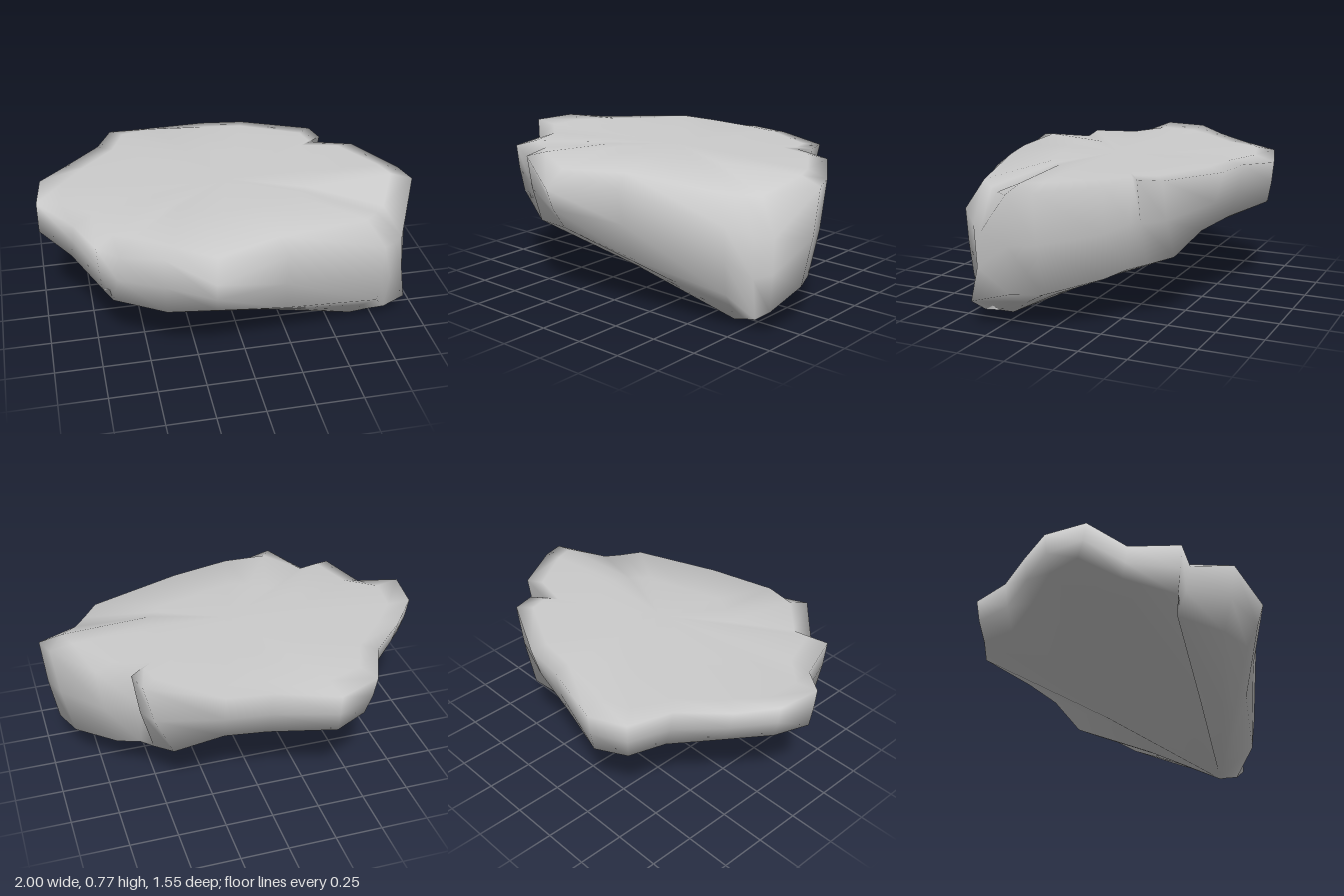
import * as THREE from 'three';

// One spoke per rim corner: rim x, y, z, then the lower edge x, y, z below it
const SPOKES = [
  [-1.0, 0.77, 0.09, -1.0, 0.58, 0.05],
  [-0.83, 0.71, 0.24, -0.85, 0.52, 0.22],
  [-0.74, 0.72, 0.49, -0.72, 0.46, 0.46],
  [-0.63, 0.66, 0.5, -0.67, 0.37, 0.44],
  [-0.44, 0.74, 0.68, -0.42, 0.38, 0.61],
  [-0.2, 0.62, 0.77, -0.18, 0.4, 0.67],
  [0.18, 0.66, 0.65, 0.2, 0.29, 0.57],
  [0.73, 0.55, 0.51, 0.72, 0.2, 0.48],
  [0.82, 0.5, 0.41, 0.81, 0.06, 0.36],
  [0.89, 0.48, 0.33, 0.91, 0.13, 0.38],
  [1.0, 0.71, 0.12, 0.93, 0.2, 0.15],
  [0.96, 0.72, 0.0, 0.87, 0.2, 0.0],
  [0.78, 0.74, -0.28, 0.69, 0.26, -0.24],
  [0.56, 0.75, -0.33, 0.58, 0.29, -0.32],
  [0.62, 0.75, -0.38, 0.53, 0.31, -0.4],
  [0.59, 0.75, -0.5, 0.45, 0.34, -0.51],
  [0.23, 0.74, -0.68, 0.2, 0.42, -0.56],
  [0.0, 0.74, -0.71, 0.0, 0.46, -0.64],
  [-0.33, 0.7, -0.78, -0.33, 0.48, -0.75],
  [-0.54, 0.73, -0.72, -0.5, 0.5, -0.68],
  [-0.63, 0.75, -0.51, -0.56, 0.5, -0.49],
  [-0.83, 0.75, -0.31, -0.75, 0.53, -0.29],
  [-0.97, 0.77, -0.14, -0.93, 0.57, -0.12],
];

// Point between a and b: t sideways, s in height
const between = (a, b, t, s) => new THREE.Vector3(a.x + (b.x - a.x) * t, a.y + (b.y - a.y) * s, a.z + (b.z - a.z) * t);

function rockGeometry() {
  const apex = new THREE.Vector3(0.64, 0, 0.3);
  const pairs = SPOKES.map(s => [new THREE.Vector3(s[0], s[1], s[2]), new THREE.Vector3(s[3], s[4], s[5])]);
  // Top ring at a fraction of the rim, dipping where the rim is low
  const plateau = (k, dip) => pairs.map(([rim]) =>
    new THREE.Vector3(rim.x * k, 0.755 + dip * Math.min(0, rim.y - 0.74), rim.z * k));
  // Rings from the plateau over the rim, down the bulging sides and under to the apex
  const rings = [
    plateau(0.45, 0.05),
    plateau(0.88, 0.35),
    pairs.map(([rim]) => rim),
    pairs.map(([rim, low]) => between(rim, low, 0.35, 0.5)),
    pairs.map(([, low]) => low),
    pairs.map(([, low]) => between(low, apex, 0.5, 0.45)),
  ];
  const n = pairs.length;
  const points = [...rings.flat(), new THREE.Vector3(0, 0.755, 0), apex];
  const top = points.length - 2, bottom = points.length - 1, last = (rings.length - 1) * n;
  const index = [];
  for (let i = 0; i < n; i++) {
    const j = (i + 1) % n;
    index.push(top, i, j);
    for (let r = 0; r < last; r += n) {
      index.push(r + i, r + n + i, r + n + j, r + i, r + n + j, r + j);
    }
    index.push(last + i, bottom, last + j);
  }
  const geometry = new THREE.BufferGeometry().setFromPoints(points);
  geometry.setIndex(index);
  geometry.computeVertexNormals();
  return geometry;
}

export function createModel() {
  const group = new THREE.Group();
  group.name = 'boulder';
  const rock = new THREE.Mesh(rockGeometry(), new THREE.MeshStandardMaterial({ color: 0xcccccc, side: THREE.DoubleSide }));
  rock.name = 'rock';
  group.add(rock);
  return group;
}
